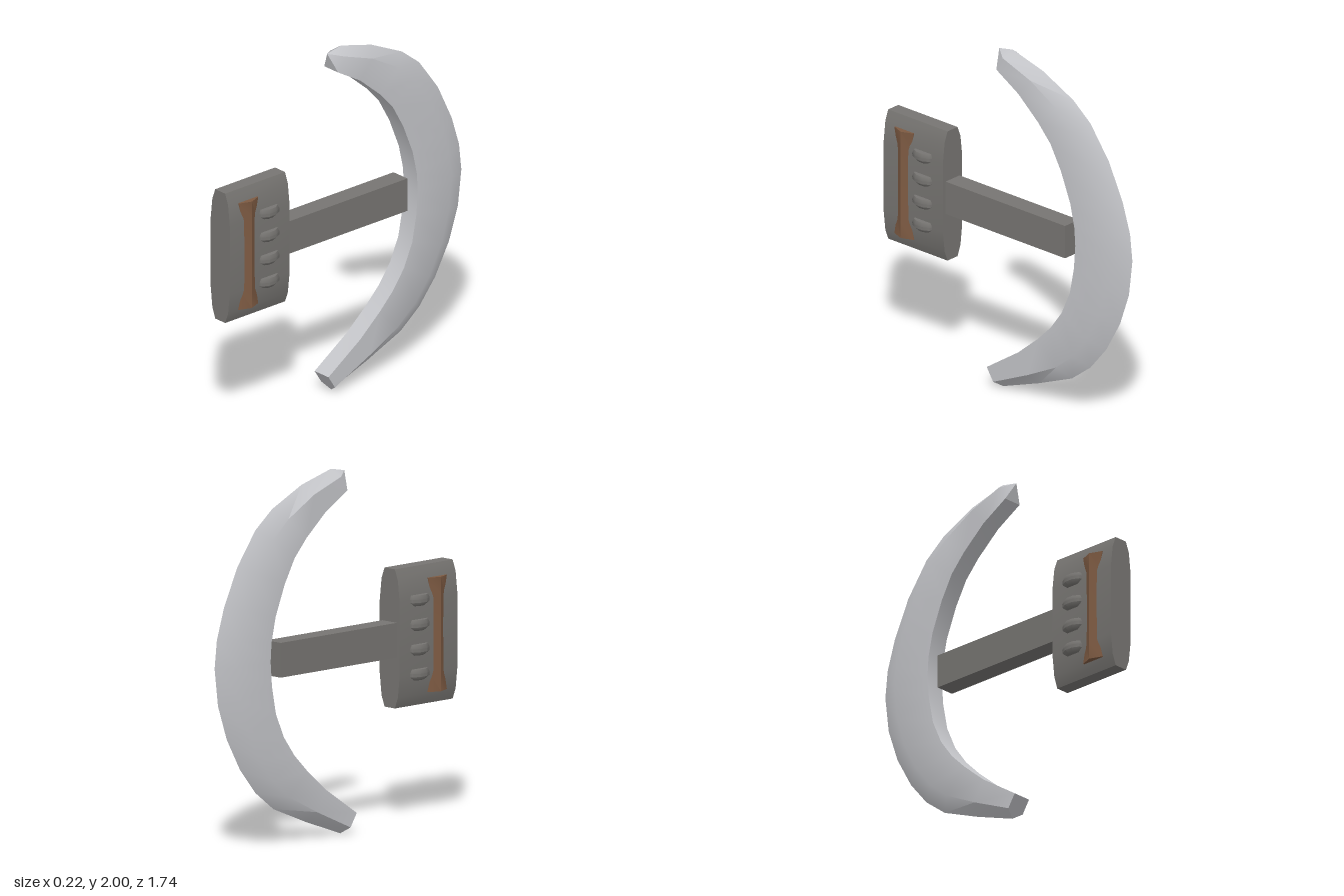
import * as THREE from 'three';
import { toCreasedNormals } from 'three/addons/utils/BufferGeometryUtils.js';

const steel = new THREE.MeshStandardMaterial({ color: 0xc4c5c9 });
const iron = new THREE.MeshStandardMaterial({ color: 0x777572 });
const leather = new THREE.MeshStandardMaterial({ color: 0x7d5a42 });

// Skin a list of equal-sized rings; each end closes in a fan to a tip (its centre by default).
function loft(rings, crease, startTip, endTip) {
  const n = rings[0].length;
  const centre = ring => [0, 1, 2].map(k => ring.reduce((s, p) => s + p[k], 0) / n);
  const last = rings.length - 1;
  const points = [...rings.flat(), startTip ?? centre(rings[0]), endTip ?? centre(rings[last])];
  const index = [];
  for (let j = 0; j < n; j++) {
    const k = (j + 1) % n;
    for (let i = 0; i < last; i++) {
      const a = i * n + j, b = a + n, c = (i + 1) * n + k, d = i * n + k;
      index.push(a, b, c, a, c, d);
    }
    index.push(points.length - 2, j, k, points.length - 1, last * n + k, last * n + j);
  }
  const geometry = new THREE.BufferGeometry();
  geometry.setAttribute('position', new THREE.Float32BufferAttribute(points.flat(), 3));
  geometry.setIndex(index);
  return toCreasedNormals(geometry, crease);
}

export function createModel() {
  const model = new THREE.Group();
  const add = (name, geometry, material) => {
    const mesh = new THREE.Mesh(geometry, material);
    mesh.name = name;
    model.add(mesh);
    return mesh;
  };

  // Crescent blade: flat inner face, parallel sides, bevel to the outer ridge.
  // Each station: inner z, inner y, outer z, outer y.
  const stations = [
    [0.07, 1.88, 0, 2], [-0.09, 1.785, -0.22, 1.94], [-0.235, 1.66, -0.44, 1.835],
    [-0.325, 1.56, -0.565, 1.735], [-0.4, 1.425, -0.7, 1.55], [-0.468, 1.255, -0.8, 1.34],
    [-0.498, 1.12, -0.853, 1.17], [-0.505, 1.015, -0.87, 1.015], [-0.495, 0.88, -0.845, 0.81],
    [-0.465, 0.725, -0.78, 0.62], [-0.405, 0.59, -0.68, 0.44], [-0.325, 0.48, -0.565, 0.3],
    [-0.23, 0.385, -0.43, 0.195], [-0.09, 0.265, -0.19, 0.095], [0.14, 0.11, 0.07, 0],
  ];
  const bladeHalf = 0.056, shoulder = 0.67;
  const bladeRings = stations.map(([iz, iy, oz, oy]) => {
    const sy = iy + (oy - iy) * shoulder, sz = iz + (oz - iz) * shoulder;
    return [
      [bladeHalf, iy, iz], [bladeHalf, sy, sz], [0, oy, oz],
      [-bladeHalf, sy, sz], [-bladeHalf, iy, iz],
    ];
  });
  add('blade', loft(bladeRings, 0.7, [0, 1.98, 0.1]), steel);

  // Shaft
  add('shaft', new THREE.BoxGeometry(0.112, 0.19, 0.88), iron).position.set(0, 1.015, 0.01);

  // Handle block: bevelled slab
  const half = [[0.04, 0.38], [0.063, 0.32], [0.077, 0.2]];
  const outline = [
    ...half, ...half.map(([x, y]) => [x, -y]).reverse(),
    ...half.map(([x, y]) => [-x, -y]), ...half.map(([x, y]) => [-x, y]).reverse(),
  ].reverse();
  const slab = new THREE.ExtrudeGeometry(
    new THREE.Shape(outline.map(([x, y]) => new THREE.Vector2(x, y))),
    { depth: 0.432, bevelEnabled: false });
  add('handleBlock', toCreasedNormals(slab, 0.45), iron).position.set(0, 1.02, 0.44);

  // Leather grip: flared at both ends, showing on both sides of the block
  const gripZ = 0.73;
  const gripRings = [[1.33, 0.07], [1.24, 0.052], [1.02, 0.048], [0.8, 0.052], [0.705, 0.07]]
    .map(([y, w]) => [
      [0.097, y, gripZ], [0.07, y, gripZ - w], [-0.07, y, gripZ - w],
      [-0.097, y, gripZ], [-0.07, y, gripZ + w], [0.07, y, gripZ + w],
    ]);
  add('grip', loft(gripRings, 0.8), leather);

  // Finger studs: four per side
  const studProfile = [[0, -0.031], [0.046, -0.031], [0.076, -0.01], [0.078, 0.008], [0.066, 0.03], [0, 0.03]]
    .map(([r, y]) => new THREE.Vector2(r, y));
  const studGeometry = toCreasedNormals(new THREE.LatheGeometry(studProfile, 10), 0.9);
  for (const side of [1, -1]) {
    for (let i = 0; i < 4; i++) {
      const stud = add('fingerStud', studGeometry, iron);
      stud.scale.x = 0.68;
      stud.position.set(side * 0.06, 0.815 + i * 0.135, 0.588);
    }
  }
  return model;
}
